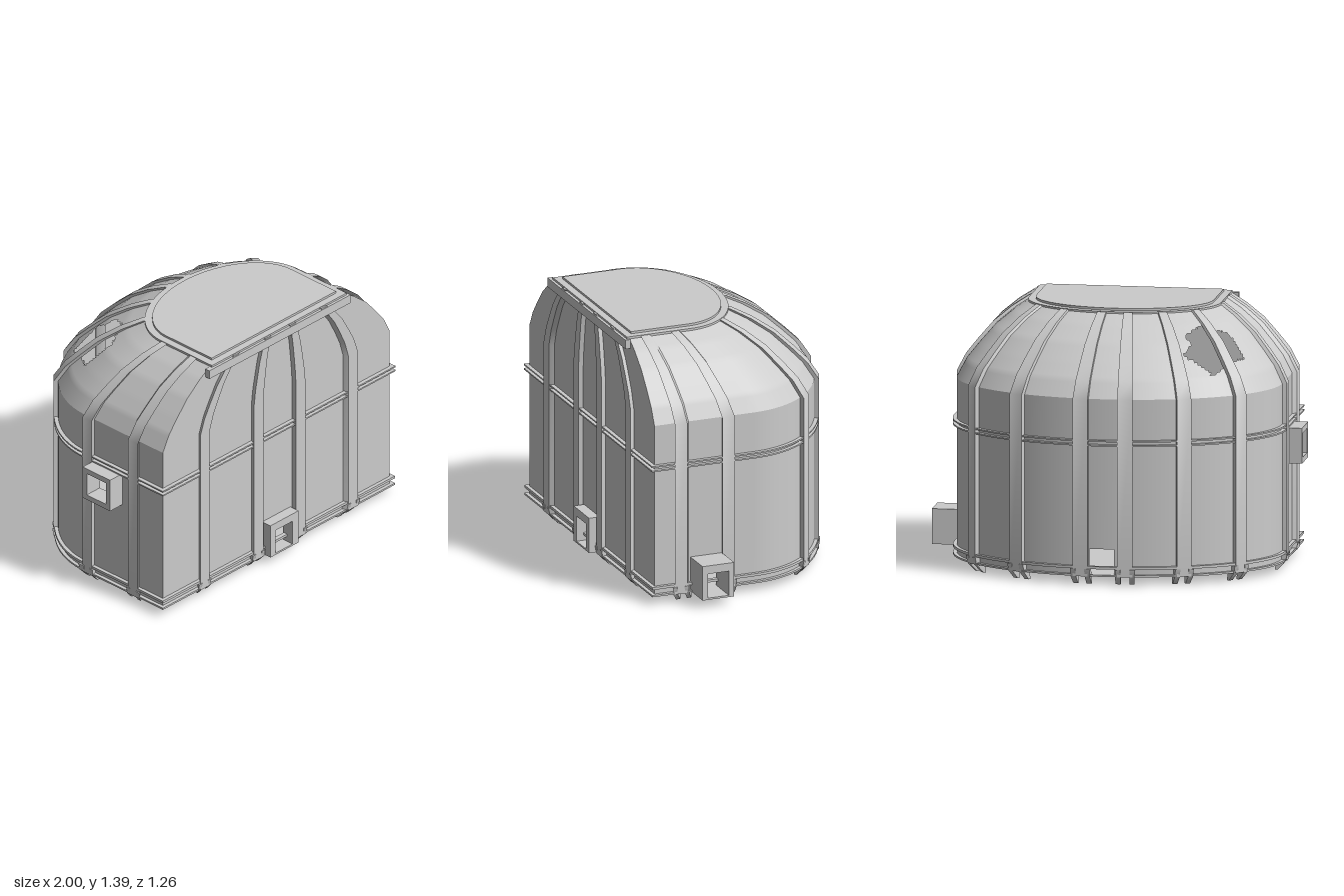
import * as THREE from 'three';
import { toCreasedNormals } from 'three/addons/utils/BufferGeometryUtils.js';

const { lerp } = THREE.MathUtils;
const material = new THREE.MeshStandardMaterial({ color: 0xcccccc, side: THREE.DoubleSide });
const FRONT = 0.565, EAVES = 1.0, TOP = 1.385;

// Dome profile: [height fraction, inward fraction]
const PROFILE = [[0, 0], [0.24, 0.13], [0.43, 0.29], [0.66, 0.5], [0.86, 0.76], [1, 1]];
const domeY = (h) => lerp(EAVES, TOP, h);

function inward(y) {
  const h = (y - EAVES) / (TOP - EAVES);
  if (h <= 0) return 0;
  for (let i = 1; i < PROFILE.length; i++) {
    const [h0, t0] = PROFILE[i - 1], [h1, t1] = PROFILE[i];
    if (h <= h1) return lerp(t0, t1, (h - h0) / (h1 - h0));
  }
  return 1;
}

// Point on the D-shaped shell. u: 0-1 +x side, 1-2 curved back, 2-3 -x side, 3-4 flat front
function shellPoint(u, y, off = 0) {
  const t = inward(y);
  const cx = lerp(-0.0375, -0.03, t), a = lerp(0.868, 0.5, t) + off;
  const b = lerp(0.61, 0.35, t) + off, z0 = lerp(0, 0.21, t), zf = FRONT + off;
  if (u <= 1) return new THREE.Vector3(cx + a, y, lerp(zf, z0, u));
  if (u <= 2) {
    const q = (u - 1) * Math.PI;
    return new THREE.Vector3(cx + a * Math.cos(q), y, z0 - b * Math.sin(q));
  }
  if (u <= 3) return new THREE.Vector3(cx - a, y, lerp(z0, zf, u - 2));
  return new THREE.Vector3(cx + a * lerp(-1, 1, u - 3), y, zf);
}

// Skin rows of points with quads, leaving out triangles for which skip(i, j, centre) is true
function loft(rows, skip = () => false, crease = 0.5) {
  const pos = [], c = new THREE.Vector3();
  for (let j = 0; j < rows.length - 1; j++) {
    for (let i = 0; i < rows[j].length - 1; i++) {
      const p = rows[j][i], q = rows[j][i + 1], r = rows[j + 1][i + 1], s = rows[j + 1][i];
      for (const tri of [[p, q, r], [p, r, s]]) {
        c.set(0, 0, 0);
        tri.forEach((v) => c.addScaledVector(v, 1 / 3));
        if (!skip(i, j, c)) tri.forEach((v) => pos.push(v.x, v.y, v.z));
      }
    }
  }
  const g = new THREE.BufferGeometry();
  g.setAttribute('position', new THREE.Float32BufferAttribute(pos, 3));
  return toCreasedNormals(g, crease);
}

// Solid strip that follows the shell; rows are [y, inner offset, outer offset]
function strip(u0, u1, rows) {
  const loops = rows.map(([y, i, o]) => [
    shellPoint(u0, y, o), shellPoint(u1, y, o), shellPoint(u1, y, i), shellPoint(u0, y, i), shellPoint(u0, y, o)]);
  const cap = (l) => {
    const c = l[0].clone().add(l[2]).multiplyScalar(0.5);
    return l.map(() => c);
  };
  return loft([cap(loops[0]), ...loops, cap(loops[loops.length - 1])], undefined, 0.6);
}

// Horizontal slab with the shell outline at planY, optionally hollow
function slab(y0, y1, off, planY, innerOff) {
  const outline = (o) => {
    const pts = [];
    for (let k = 0; k < 8; k++) pts.push(k / 8 * 0.999);
    for (let k = 0; k < 64; k++) pts.push(1 + k / 64);
    pts.push(2, 3);
    return pts.map((u) => {
      const p = shellPoint(u, planY, o);
      return new THREE.Vector2(p.x, -p.z);
    });
  };
  const shape = new THREE.Shape(outline(off));
  if (innerOff !== undefined) shape.holes.push(new THREE.Path(outline(innerOff)));
  const g = new THREE.ExtrudeGeometry(shape, { depth: y1 - y0, bevelEnabled: false });
  g.rotateX(-Math.PI / 2).translate(0, y0, 0);
  return toCreasedNormals(g, 0.5);
}

const rect = (P, x0, x1, y0, y1) => new P([[x0, y0], [x1, y0], [x1, y1], [x0, y1]].map((p) => new THREE.Vector2(...p)));

// Open rectangular frame facing +z, before it is turned into place
function frame(outer, hole, depth) {
  const shape = rect(THREE.Shape, ...outer);
  shape.holes.push(rect(THREE.Path, ...hole));
  return new THREE.ExtrudeGeometry(shape, { depth, bevelEnabled: false });
}

function insidePolygon(x, z, poly) {
  let inside = false;
  poly.forEach(([x1, z1], i) => {
    const [x2, z2] = poly[(i + 1) % poly.length];
    if ((z1 > z) !== (z2 > z) && x < x1 + (x2 - x1) * (z - z1) / (z2 - z1)) inside = !inside;
  });
  return inside;
}

export function createModel() {
  const model = new THREE.Group();
  const add = (name, geometry) => {
    const mesh = new THREE.Mesh(geometry, material);
    mesh.name = name;
    model.add(mesh);
    return mesh;
  };

  // Openings in the wall: [u0, u1, y0, y1] for +x port, back door, -x window, front door
  const openings = [[0.416, 0.628, 0.06, 0.195], [1.477, 1.525, 0.06, 0.195],
    [2.177, 2.425, 0.59, 0.72], [3.461, 3.536, 0.06, 0.195]];
  const us = [...openings.flatMap((o) => [o[0], o[1]]), 4];
  for (let s = 0; s < 4; s++) {
    const n = s === 1 ? 140 : 16;
    for (let k = 0; k < n; k++) us.push(s + k / n);
  }
  us.sort((p, q) => p - q);

  // Wall
  const wallY = [0.05, 0.06, 0.195, 0.59, 0.72, EAVES];
  add('wall', loft(wallY.map((y) => us.map((u) => shellPoint(u, y))), (i, j) => {
    const u = (us[i] + us[i + 1]) / 2, y = (wallY[j] + wallY[j + 1]) / 2;
    return openings.some(([a, b, c, d]) => u > a && u < b && y > c && y < d);
  }));

  // Dome with a broken hole
  const breach = [[-0.6, -0.38], [-0.43, -0.35], [-0.47, -0.28], [-0.42, -0.24],
    [-0.49, -0.13], [-0.63, -0.08], [-0.73, -0.17], [-0.68, -0.24]];
  const domeRows = [];
  for (let i = 0; i < PROFILE.length - 1; i++) {
    for (let k = 0; k < 6; k++) domeRows.push(domeY(lerp(PROFILE[i][0], PROFILE[i + 1][0], k / 6)));
  }
  domeRows.push(TOP);
  add('dome', loft(domeRows.map((y) => us.map((u) => shellPoint(u, y))),
    (i, j, c) => insidePolygon(c.x, c.z, breach)));

  // Roof plate, rim and front lip
  add('roofPlate', slab(1.37, 1.4, -0.025, TOP));
  add('roofRim', slab(1.365, 1.388, 0.015, TOP, -0.03));
  const lip = add('roofLip', new THREE.BoxGeometry(1.08, 0.05, 0.03));
  lip.position.set(-0.04, 1.352, 0.58);

  // Floor, base flange and the two belt flanges
  add('floor', slab(0.05, 0.06, 0.012, 0));
  add('baseSkirt', slab(0.05, 0.06, 0.02, 0, -0.01));
  add('baseFlange', slab(0.09, 0.104, 0.02, 0, -0.005));
  for (const y of [0.75, 0.774]) add('beltFlange', slab(y, y + 0.008, 0.022, 0, -0.005));

  // Ribs with a pair of claws under each: [centre u, half width in u]
  const side = 0.06, back = 0.0145, front = 0.02;
  const ribs = [[0.283, side], [0.743, side], [2.06, 0.055], [2.63, side],
    ...[1.19, 1.323, 1.46, 1.546, 1.662, 1.794].map((u) => [u, back]),
    ...[3.18, 3.41, 3.59, 3.815].map((u) => [u, front])];
  const ribRows = [[0.05, -0.005, 0.025], ...PROFILE.map(([h]) => [domeY(h), -0.005, 0.025])];
  const clawRows = [[0.005, -0.035, -0.02], [0.05, -0.03, 0.022], [0.09, 0, 0.03]];
  for (const [u, w] of ribs) {
    add('rib', strip(u - w, u + w, ribRows));
    add('claw', strip(u - w * 1.3, u - w * 0.6, clawRows));
    add('claw', strip(u + w * 0.6, u + w * 1.3, clawRows));
  }

  // Front door frame
  add('doorFrame', frame([-0.145, 0.07, 0.05, 0.245], [-0.105, 0.025, 0.06, 0.2], 0.07)
    .translate(0, 0, 0.555));
  // Low port box on the +x side
  add('portBox', frame([-0.36, -0.18, 0.05, 0.24], [-0.33, -0.21, 0.06, 0.195], 0.18)
    .rotateY(Math.PI / 2).translate(0.82, 0, 0));
  // Window box on the -x side
  add('windowBox', frame([0.07, 0.27, 0.56, 0.75], [0.1, 0.24, 0.59, 0.72], 0.1)
    .rotateY(-Math.PI / 2).translate(-0.9, 0, 0));
  return model;
}
